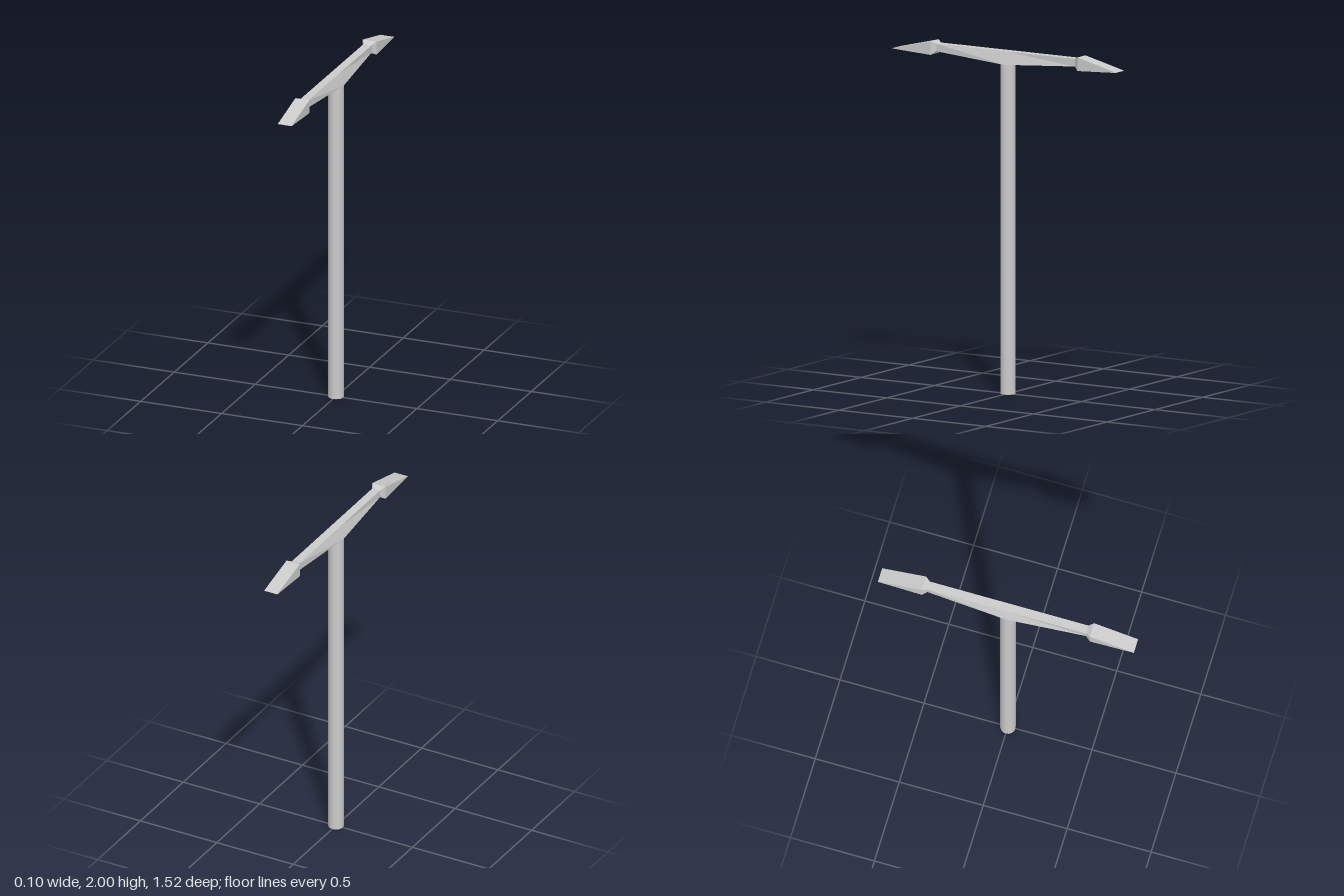
import * as THREE from 'three';

const metal = new THREE.MeshStandardMaterial({ color: 0xcccccc, side: THREE.DoubleSide });
const facet = new THREE.MeshStandardMaterial({ color: 0xcccccc, flatShading: true, side: THREE.DoubleSide });

// Joins consecutive four-cornered loops; sides in skip are left open, the last loop is closed if cap is set
function loft(loops, { cap = false, skip = () => false } = {}) {
  const pos = [];
  const quad = (a, b, c, d) => pos.push(...a, ...b, ...c, ...a, ...c, ...d);
  for (let k = 0; k + 1 < loops.length; k++) {
    for (let i = 0; i < 4; i++) {
      if (skip(k, i)) continue;
      const j = (i + 1) % 4;
      quad(loops[k][i], loops[k][j], loops[k + 1][j], loops[k + 1][i]);
    }
  }
  if (cap) quad(...loops[loops.length - 1]);
  const geo = new THREE.BufferGeometry();
  geo.setAttribute('position', new THREE.Float32BufferAttribute(pos, 3));
  geo.computeVertexNormals();
  return geo;
}

// Upright trapezoid across the arm
const section = (z, y0, w0, y1, w1) => [[-w0, y0, z], [w0, y0, z], [w1, y1, z], [-w1, y1, z]];

// Rectangle on the sloping lamp underside, raised by rise at each end
const underside = (z) => 1.921 + (z - 0.5) * 0.05;
function panel(w, z0, z1, rise0 = 0, rise1 = 0) {
  const y0 = underside(z0) + rise0, y1 = underside(z1) + rise1;
  return [[-w, y0, z0], [w, y0, z0], [w, y1, z1], [-w, y1, z1]];
}

function add(group, name, geometry, material) {
  const mesh = new THREE.Mesh(geometry, material);
  mesh.name = name;
  group.add(mesh);
  return mesh;
}

function createLamp(name) {
  const lamp = new THREE.Group();
  lamp.name = name;
  // Flared collar and wedge housing, open below
  add(lamp, 'lampHousing', loft([
    section(0.472, 1.942, 0.025, 1.986, 0.025),
    section(0.5, 1.921, 0.043, 2.0, 0.043),
    section(0.762, underside(0.762), 0.043, 1.936, 0.043),
  ], { cap: true, skip: (k, i) => k === 1 && i === 0 }), facet);
  // Rim and recessed light panel
  add(lamp, 'lightPanel', loft([
    panel(0.043, 0.5, 0.762),
    panel(0.034, 0.52, 0.69),
    panel(0.03, 0.525, 0.68, 0.022, 0.008),
  ], { cap: true }), facet);
  return lamp;
}

export function createModel() {
  const model = new THREE.Group();
  model.name = 'doubleStreetLamp';

  // Hollow post
  const post = add(model, 'post', new THREE.CylinderGeometry(0.045, 0.045, 1.925, 16, 1, true), metal);
  post.position.y = 1.925 / 2;

  // Cross arm, deepest and widest over the post
  add(model, 'crossArm', loft([
    section(-0.472, 1.942, 0.025, 1.986, 0.025),
    section(0, 1.911, 0.048, 1.986, 0.025),
    section(0.472, 1.942, 0.025, 1.986, 0.025),
  ]), facet);

  // Lamp at each end
  model.add(createLamp('frontLamp'));
  const back = createLamp('backLamp');
  back.rotation.y = Math.PI;
  model.add(back);

  return model;
}
